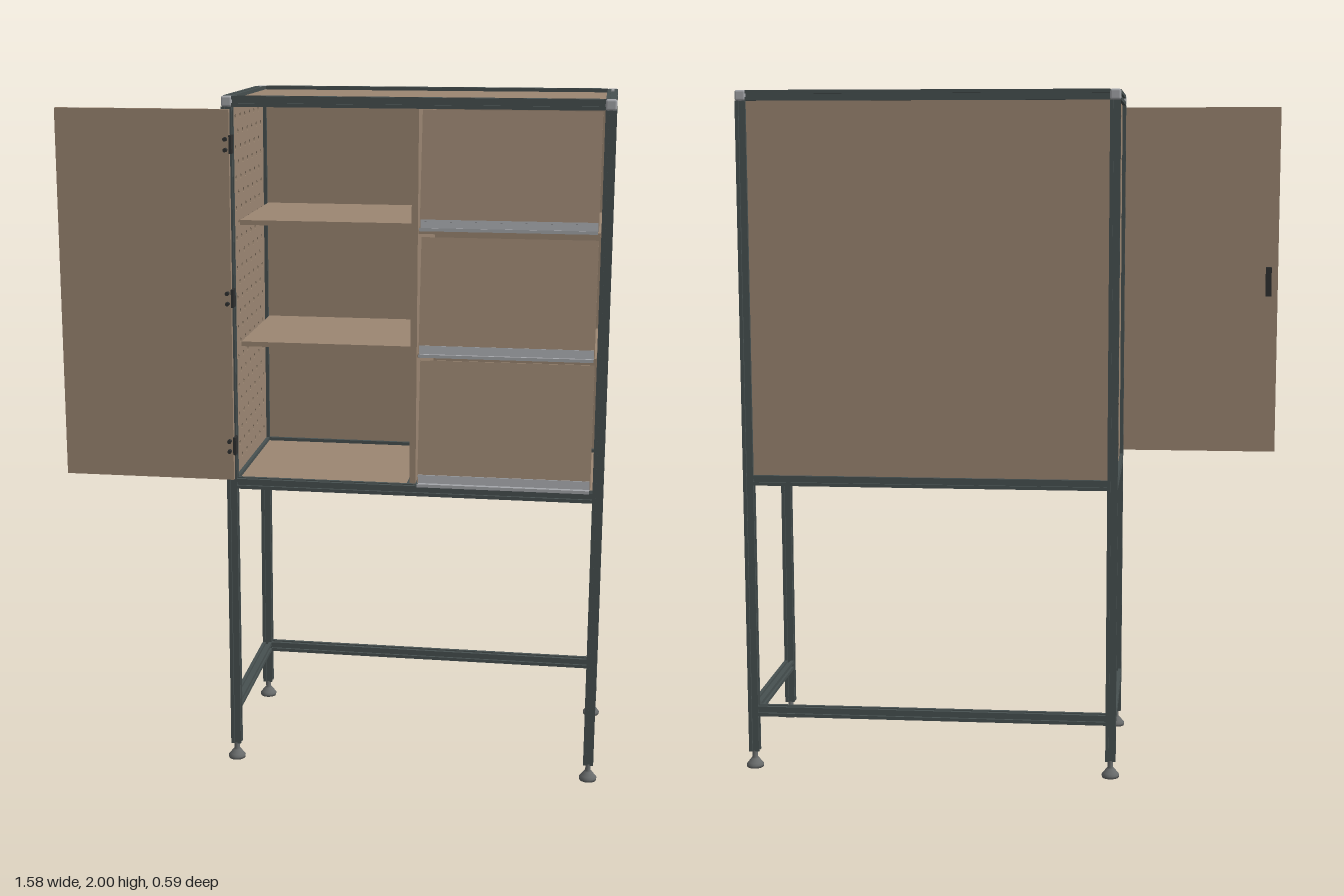
import * as THREE from 'three';
import { RoundedBoxGeometry } from 'three/addons/geometries/RoundedBoxGeometry.js';

const mat = (name, color) => Object.assign(new THREE.MeshStandardMaterial({ color }), { name });

export function createModel() {
  const wood = mat('brown panel', 0x9b8672);
  const metal = mat('dark frame', 0x475050);
  const grey = mat('aluminium grey', 0xa4a6aa);
  const footMat = mat('foot grey', 0x686b6b);
  const black = mat('dark fitting', 0x2e3030);

  const model = new THREE.Group();
  model.name = 'cabinet';
  const add = (name, geo, material, x = 0, y = 0, z = 0, parent = model) => {
    const m = new THREE.Mesh(geo, material);
    m.name = name;
    m.position.set(x, y, z);
    parent.add(m);
    return m;
  };
  // box given by its limits
  const slab = (name, material, x0, x1, y0, y1, z0, z1, parent) =>
    add(name, new THREE.BoxGeometry(x1 - x0, y1 - y0, z1 - z0), material,
      (x0 + x1) / 2, (y0 + y1) / 2, (z0 + z1) / 2, parent);

  // square section with a slot in each side, extruded along one axis
  const H = 0.015, S = 0.005, D = 0.007;
  const section = new THREE.Shape();
  const side = [[-H, -H], [-S, -H], [-S, -H + D], [S, -H + D], [S, -H]];
  const pts = [];
  for (let k = 0; k < 4; k++) {
    for (const [x, y] of side) {
      pts.push(new THREE.Vector2(x, y).rotateAround(new THREE.Vector2(), k * Math.PI / 2));
    }
  }
  section.setFromPoints(pts);
  const rail = (name, axis, length, x, y, z) => {
    const g = new THREE.ExtrudeGeometry(section, { depth: length, bevelEnabled: false });
    g.translate(0, 0, -length / 2);
    if (axis === 'x') g.rotateY(Math.PI / 2);
    if (axis === 'y') g.rotateX(Math.PI / 2);
    add(name, g, metal, x, y, z);
  };

  const XL = -0.305, XR = 0.762, ZF = 0.23, ZB = -0.27;
  const XM = (XL + XR) / 2, ZM = (ZF + ZB) / 2;
  const spanX = XR - XL - 2 * H, spanZ = ZF - ZB - 2 * H;
  const TOP = 1.985, MID = 0.875, LOW = 0.175;

  // posts, corner caps and levelling feet
  const footProfile = [[0, 0], [0.025, 0], [0.026, 0.008], [0.021, 0.014], [0.012, 0.026], [0.008, 0.03], [0.008, 0.055]]
    .map(p => new THREE.Vector2(...p));
  for (const x of [XL, XR]) {
    for (const z of [ZF, ZB]) {
      rail('post', 'y', 1.92, x, 1.01, z);
      add('cornerCap', new RoundedBoxGeometry(0.031, 0.03, 0.031, 2, 0.006), grey, x, TOP, z);
      add('foot', new THREE.LatheGeometry(footProfile, 20), footMat, x, 0, z);
    }
  }

  // horizontal rails
  for (const y of [TOP, MID]) {
    for (const z of [ZF, ZB]) rail('longRail', 'x', spanX, XM, y, z);
    for (const x of [XL, XR]) rail('sideRail', 'z', spanZ, x, y, ZM);
  }
  rail('lowBackRail', 'x', spanX, XM, LOW, ZB);
  for (const x of [XL, XR]) rail('lowSideRail', 'z', spanZ, x, LOW, ZM);
  rail('centreRail', 'z', spanZ, 0.225, MID, ZM);

  // plain panels held in the slots
  const T = 0.0045, IN = H - 0.005;
  const x0 = XL + IN, x1 = XR - IN, z0 = ZB + IN, z1 = ZF - IN, y0 = MID + IN, y1 = TOP - IN;
  slab('topPanel', wood, x0, x1, TOP - T, TOP + T, z0, z1);
  slab('bottomPanel', wood, x0, x1, MID - T, MID + T, z0, z1);
  slab('backPanel', wood, x0, x1, y0, y1, ZB - T, ZB + T);
  slab('leftPanel', wood, XR - T, XR + T, y0, y1, z0, z1);

  // perforated panel with staggered holes
  const sheet = new THREE.Shape([[z0, y0], [z1, y0], [z1, y1], [z0, y1]].map(p => new THREE.Vector2(...p)));
  for (let r = 0; r < 24; r++) {
    const odd = r % 2;
    for (let c = 0; c < 7 - odd; c++) {
      const hole = new THREE.Path();
      hole.absarc(ZM + (c - 3 + odd / 2) * 0.066, y0 + 0.045 + r * 0.0437, 0.008, 0, Math.PI * 2, true);
      sheet.holes.push(hole);
    }
  }
  const perforated = new THREE.ExtrudeGeometry(sheet, { depth: 2 * T, bevelEnabled: false, curveSegments: 5 });
  perforated.rotateY(-Math.PI / 2);
  add('perforatedPanel', perforated, wood, XL + T, 0, 0);

  // screws in the plain side
  for (const y of [1.91, 1.55, 1.19]) {
    for (const z of [0.12, -0.09]) {
      const g = new THREE.CylinderGeometry(0.006, 0.006, 0.004, 10).rotateZ(Math.PI / 2);
      add('screw', g, black, XR + T + 0.002, y, z);
    }
  }

  // inner divider and shelves
  slab('divider', wood, 0.217, 0.235, MID + T, TOP - T, ZB + T, 0.215);
  for (const y of [1.635, 1.278]) {
    slab('shelf', wood, -0.288, 0.217, y - 0.007, y + 0.007, ZB + T, 0.16);
    slab('bayShelf', wood, 0.235, 0.745, y - 0.017, y - 0.005, ZB + T, 0.2);
  }

  // tilted flaps with a grip ledge along the lower edge
  for (const [top, bottom] of [[1.965, 1.638], [1.61, 1.28], [1.255, 0.9]]) {
    const flap = new THREE.Group();
    flap.name = 'flap';
    flap.position.set(0.4925, top, 0.205);
    const length = top - bottom;
    flap.rotation.x = -Math.asin(0.05 / length);
    model.add(flap);
    slab('flapPanel', wood, -0.248, 0.248, -length, 0, -0.012, 0, flap);
    slab('gripBack', grey, -0.246, 0.246, -length, -length + 0.024, 0, 0.003, flap);
    slab('gripRib', grey, -0.246, 0.246, -length + 0.018, -length + 0.024, 0.003, 0.008, flap);
    slab('gripLedge', grey, 0.247, 0.738, bottom, bottom + 0.003, 0.245, 0.29);
    slab('gripLip', grey, 0.247, 0.738, bottom, bottom + 0.009, 0.287, 0.29);
  }

  // open door with hinges and a pull
  slab('door', wood, -0.795, -0.292, 0.895, 1.965, 0.26, 0.275);
  slab('doorPull', black, -0.775, -0.757, 1.385, 1.475, 0.252, 0.26);
  for (const y of [1.868, 1.432, 0.997]) {
    slab('hingePlate', black, -0.314, -0.288, y - 0.026, y + 0.026, 0.245, 0.26);
    slab('hingeLeaf', black, -0.292, -0.284, y - 0.026, y + 0.026, 0.25, 0.28);
    for (const dy of [-0.015, 0.015]) {
      const g = new THREE.CylinderGeometry(0.006, 0.006, 0.014, 10).rotateX(Math.PI / 2);
      add('hingeBolt', g, black, -0.302, y + dy, 0.281);
    }
  }
  return model;
}
